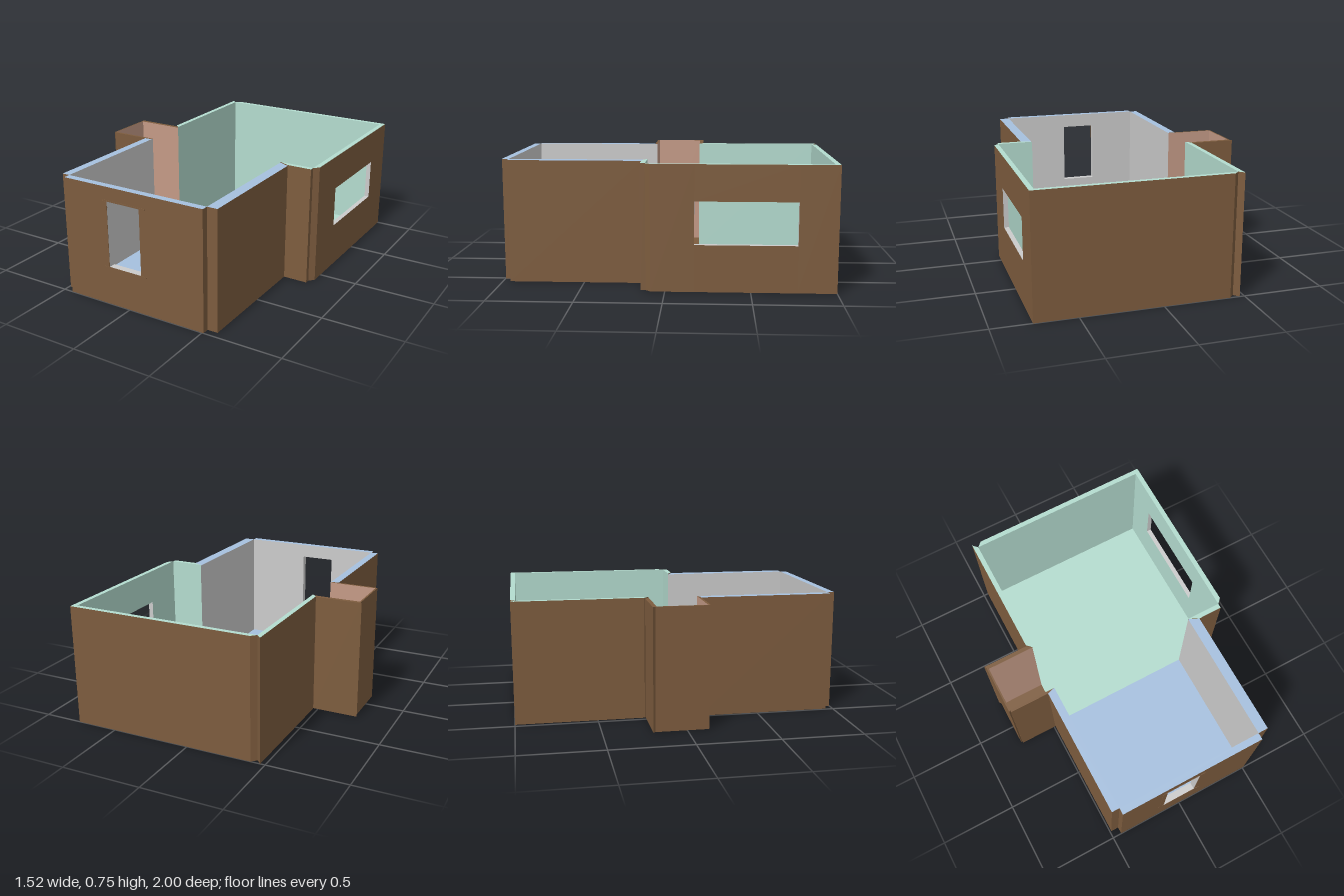
import * as THREE from 'three';

const mat = (color) => new THREE.MeshStandardMaterial({ color, side: THREE.DoubleSide, flatShading: true });

// Flat panels, each a list of four corners counter-clockwise from outside
function panels(name, quads, material) {
  const pos = [];
  for (const [a, b, c, d] of quads) pos.push(...a, ...b, ...c, ...a, ...c, ...d);
  const g = new THREE.BufferGeometry();
  g.setAttribute('position', new THREE.Float32BufferAttribute(pos, 3));
  g.computeVertexNormals();
  const mesh = new THREE.Mesh(g, material);
  mesh.name = name;
  return mesh;
}

export function createModel() {
  const group = new THREE.Group();
  const brown = mat(0x7d5c3e), green = mat(0xb4dccf), blue = mat(0xa6c0de);
  const pink = mat(0xc49a86), grey = mat(0xcccccc);

  // Wall running from a to b with its outside on the right-hand side;
  // inner and outer lines are [x0, z0, x1, z1], hole is [from, to, y0, y1]
  function wall(name, inner, outer, h, inside, rim, hole) {
    const w = new THREE.Group();
    w.name = name;
    const axis = Math.abs(inner[2] - inner[0]) > Math.abs(inner[3] - inner[1]) ? 0 : 1;
    const at = (l, u, y) => [l[0] + (l[2] - l[0]) * u, y, l[1] + (l[3] - l[1]) * u];
    const param = (l, v) => (v - l[axis]) / (l[axis + 2] - l[axis]);
    const rect = (l, u0, u1, y0, y1) => [at(l, u0, y0), at(l, u1, y0), at(l, u1, y1), at(l, u0, y1)];
    const face = (l) => {
      if (!hole) return [rect(l, 0, 1, 0, h)];
      const u0 = param(l, hole[0]), u1 = param(l, hole[1]);
      return [rect(l, 0, u0, 0, h), rect(l, u1, 1, 0, h),
        rect(l, u0, u1, 0, hole[2]), rect(l, u0, u1, hole[3], h)];
    };
    const ends = [0, 1].map((u) => {
      const q = [at(inner, u, 0), at(outer, u, 0), at(outer, u, h), at(inner, u, h)];
      return u ? q.reverse() : q;
    });
    const base = [at(inner, 0, 0), at(inner, 1, 0), at(outer, 1, 0), at(outer, 0, 0)];
    w.add(panels(name + 'Outside', [...face(outer), ...ends, base], brown));
    w.add(panels(name + 'Inside', face(inner).map((q) => q.reverse()), inside));
    w.add(panels(name + 'Rim', [[at(outer, 0, h), at(outer, 1, h), at(inner, 1, h), at(inner, 0, h)]], rim));
    if (hole) {
      // reveal around the opening
      const loop = (l) => rect(l, param(l, hole[0]), param(l, hole[1]), hole[2], hole[3]);
      const o = loop(outer), i = loop(inner);
      w.add(panels(name + 'Reveal', o.map((p, k) => [p, o[(k + 1) % 4], i[(k + 1) % 4], i[k]]), grey));
    }
    group.add(w);
  }

  // Front room
  const hf = 0.745, hb = 0.75;
  wall('frontWall', [-0.44, 0.955, 0.51, 0.955], [-0.44, 0.998, 0.51, 0.998], hf, grey, blue, [-0.135, 0.09, 0.245, 0.655]);
  wall('frontRoomLeftWall', [0.51, 0.955, 0.51, 0.115], [0.575, 0.955, 0.575, 0.145], hf, grey, blue);
  wall('frontRoomRightWall', [-0.44, 0.12, -0.44, 0.955], [-0.49, 0.135, -0.49, 0.955], hf, grey, blue);

  // Back room
  wall('returnWall', [0.51, 0.115, 0.73, 0.115], [0.575, 0.145, 0.73, 0.145], hb, green, green);
  wall('backRoomLeftWall', [0.73, 0.115, 0.73, -0.97], [0.76, 0.085, 0.76, -1], hb, green, green, [-0.17, -0.77, 0.28, 0.535]);
  wall('backWall', [0.73, -0.97, -0.44, -0.97], [0.76, -1, -0.41, -1], hb, green, green);
  wall('backRoomRightWall', [-0.44, -0.97, -0.44, -0.18], [-0.47, -1, -0.47, -0.21], hb, green, green);

  // Alcove, open to the back room
  wall('alcoveBackWall', [-0.44, -0.18, -0.74, -0.18], [-0.47, -0.205, -0.76, -0.205], hf, pink, brown);
  wall('alcoveSideWall', [-0.74, -0.18, -0.74, 0.12], [-0.75, -0.19, -0.75, 0.13], hf, pink, brown);
  wall('alcoveFrontWall', [-0.74, 0.12, -0.44, 0.12], [-0.74, 0.135, -0.45, 0.135], hf, pink, brown);

  // Floors, with brown undersides
  const floors = [
    ['frontRoomFloor', -0.44, 0.51, 0.115, 0.955, blue],
    ['backRoomFloor', -0.44, 0.73, -0.97, 0.115, green],
    ['alcoveFloor', -0.74, -0.44, -0.18, 0.12, brown],
  ];
  for (const [name, x0, x1, z0, z1, m] of floors) {
    const q = (y) => [[x0, y, z1], [x1, y, z1], [x1, y, z0], [x0, y, z0]];
    group.add(panels(name, [q(0.004)], m), panels(name + 'Underside', [q(0).reverse()], brown));
  }

  // Thin trim around the front opening
  const trims = [['windowSill', -0.02, 0.24, 0.3, 0.008], ['windowLintel', -0.02, 0.66, 0.3, 0.008],
    ['windowJamb', -0.15, 0.45, 0.03, 0.41]];
  for (const [name, x, y, w, h] of trims) {
    const trim = new THREE.Mesh(new THREE.BoxGeometry(w, h, 0.006), brown);
    trim.name = name;
    trim.position.set(x, y, 0.997);
    group.add(trim);
  }
  return group;
}
